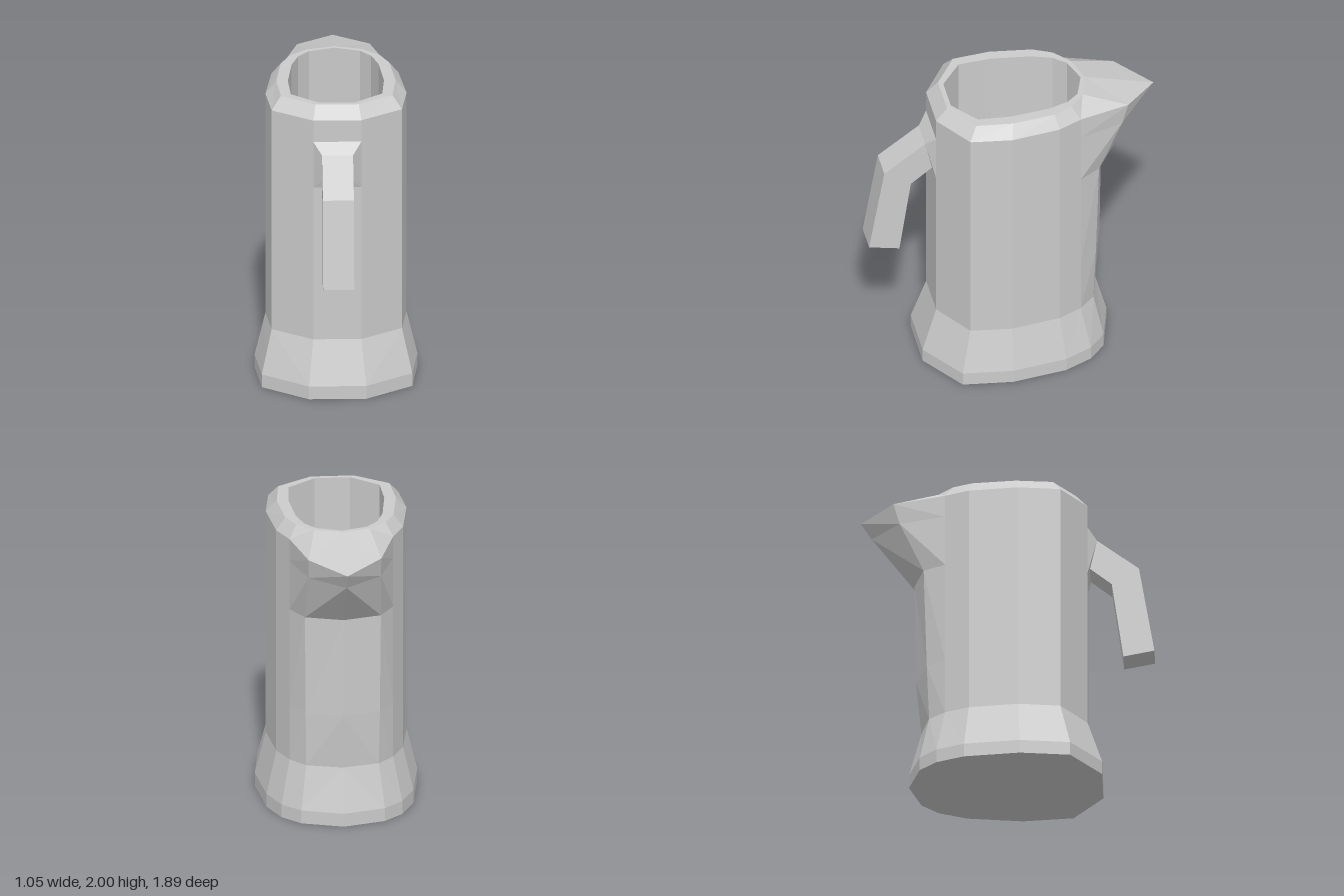
import * as THREE from 'three';

// Skin a list of equal-length rings with flat faces and close both ends.
function loft(name, rings, mirrorFrom) {
  const pos = [];
  const n = rings[0].length;
  const tri = (a, b, c) => pos.push(...a, ...b, ...c);
  for (let k = 0; k < rings.length - 1; k++) {
    for (let i = 0; i < n; i++) {
      const j = (i + 1) % n;
      const a = rings[k][i], b = rings[k][j], c = rings[k + 1][j], d = rings[k + 1][i];
      // the diagonal flips on the second half so both sides match
      if (i < mirrorFrom) { tri(a, b, c); tri(a, c, d); }
      else { tri(a, b, d); tri(b, c, d); }
    }
  }
  const cap = (ring, flip) => {
    const mid = [0, 1, 2].map((q) => ring.reduce((s, p) => s + p[q], 0) / n);
    for (let i = 0; i < n; i++) {
      const p = ring[i], q = ring[(i + 1) % n];
      if (flip) tri(mid, q, p); else tri(mid, p, q);
    }
  };
  cap(rings[0], true);
  cap(rings[rings.length - 1], false);
  const geo = new THREE.BufferGeometry();
  geo.setAttribute('position', new THREE.Float32BufferAttribute(pos, 3));
  geo.computeVertexNormals();
  const mesh = new THREE.Mesh(geo, new THREE.MeshStandardMaterial({ color: 0xcccccc, flatShading: true }));
  mesh.name = name;
  return mesh;
}

// Half outline [x, z] from the front edge round to the back point, mirrored to 13 corners.
// A third number overrides the height of that corner.
function ring(y, half) {
  const right = half.map(([x, z, h = y]) => [x, h, z]);
  const left = right.slice(0, -1).reverse().map(([x, h, z]) => [-x, h, z]);
  return [...right, ...left];
}

export function createModel() {
  const group = new THREE.Group();
  group.name = 'jug';

  // Outlines of the foot, the wall, the rim and the opening
  const foot = [[0.185, 0.615], [0.485, 0.415], [0.525, 0.09], [0.475, -0.27], [0.39, -0.45], [0.27, -0.56], [0, -0.635]];
  const wall = [[0.155, 0.52], [0.42, 0.35], [0.455, 0.08], [0.41, -0.24], [0.335, -0.395]];
  const rim = [[0.14, 0.445], [0.36, 0.3], [0.385, 0.06], [0.35, -0.22], [0.29, -0.345], [0.18, -0.44], [0, -0.49]];
  const opening = [[0.115, 0.415], [0.295, 0.275], [0.31, 0.06], [0.28, -0.2], [0.235, -0.33], [0.165, -0.41], [0, -0.465]];

  // Body with pulled-out spout, bevelled rim and hollow inside
  group.add(loft('body', [
    ring(0, foot),
    ring(0.09, foot),
    ring(0.38, [...wall, [0.235, -0.5], [0, -0.555]]),
    ring(0.75, [...wall, [0.24, -0.515], [0, -0.59]]),
    ring(1.43, [...wall, [0.245, -0.535], [0, -0.6]]),
    ring(1.77, [...wall, [0.235, -0.69], [0, -0.875]]),
    ring(1.92, [...wall, [0.235, -0.73, 1.91], [0, -0.945, 1.88]]),
    ring(2, rim),
    ring(2, opening),
    ring(0.15, opening),
  ], 6));

  // Handle sections: half width, lower [y, z], upper [y, z]
  const sections = [
    [0.155, [1.45, 0.52], [1.77, 0.52]],
    [0.1, [1.5, 0.535], [1.7, 0.58]],
    [0.1, [1.39, 0.675], [1.5, 0.85]],
    [0.1, [0.875, 0.75], [0.915, 0.95]],
  ];
  group.add(loft('handle', sections.map(([w, lo, hi]) => [
    [w, ...lo], [w, ...hi], [-w, ...hi], [-w, ...lo],
  ]), 2));

  return group;
}
